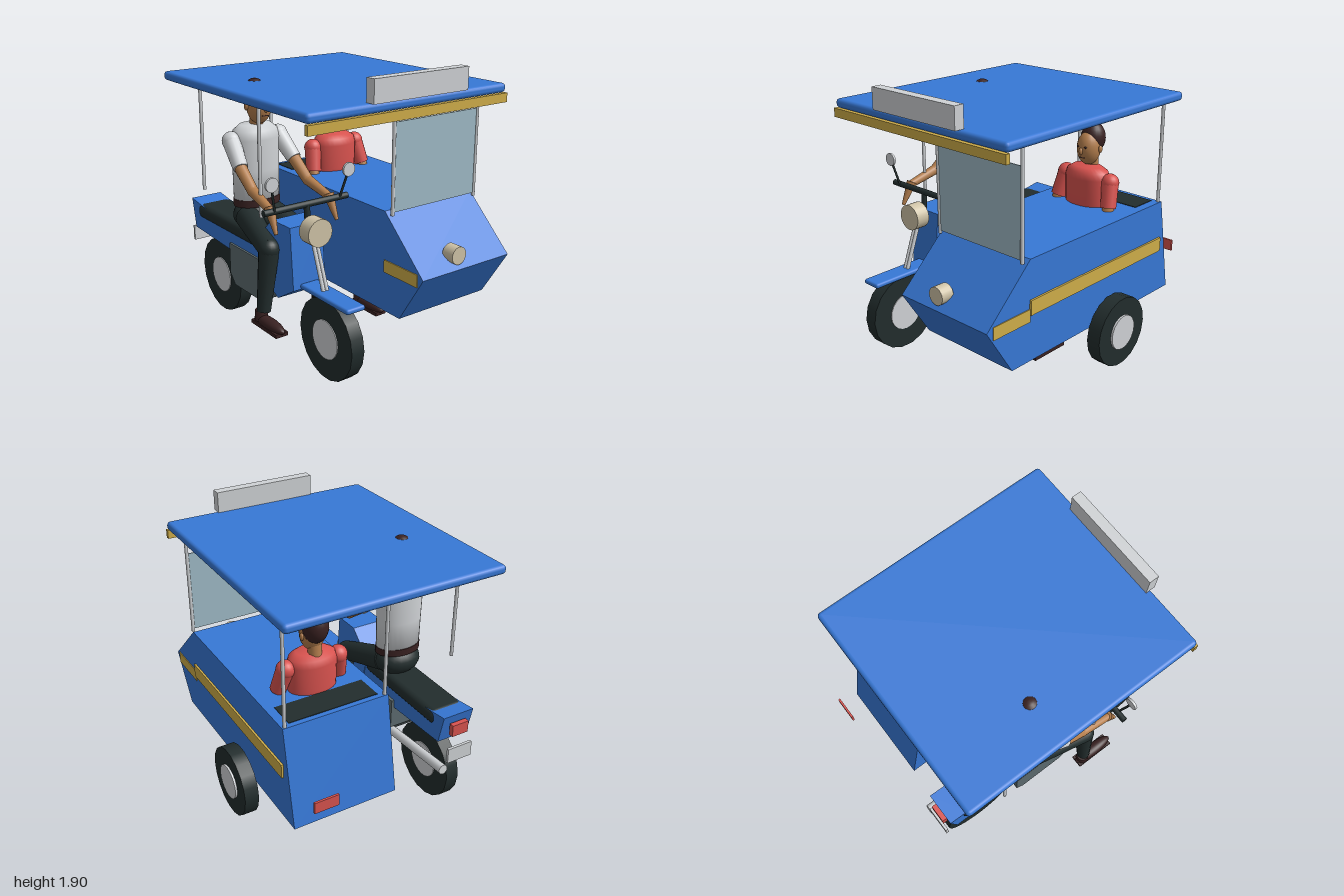
import * as THREE from 'three';
import { RoundedBoxGeometry } from 'three/addons/geometries/RoundedBoxGeometry.js';

const mat = (name, color) => {
  const m = new THREE.MeshStandardMaterial({ color });
  m.name = name;
  return m;
};

export function createModel() {
  const root = new THREE.Group();
  const blue = mat('blue paint', 0x3778d6), yellow = mat('yellow trim', 0xd0ae4a);
  const grey = mat('light grey', 0xd0d3d6), black = mat('rubber black', 0x222d2d);
  const red = mat('red', 0xd9534f), skin = mat('skin', 0xb57f4e);
  const brown = mat('dark brown', 0x3a2222), cream = mat('lamp cream', 0xd0c4a8);
  const glass = mat('glass', 0xa0bcc8), slate = mat('slate', 0x5e6c70);
  glass.side = THREE.DoubleSide;

  const add = (name, geo, material, x = 0, y = 0, z = 0) => {
    const m = new THREE.Mesh(geo, material);
    m.name = name;
    m.position.set(x, y, z);
    root.add(m);
    return m;
  };
  // Box given by its lower and upper corners
  const box = (name, material, x0, x1, y0, y1, z0, z1, bevel = 0) => add(name,
    bevel ? new RoundedBoxGeometry(x1 - x0, y1 - y0, z1 - z0, 2, bevel)
      : new THREE.BoxGeometry(x1 - x0, y1 - y0, z1 - z0),
    material, (x0 + x1) / 2, (y0 + y1) / 2, (z0 + z1) / 2);
  // Tapered rod between two points
  const rod = (name, material, a, b, r0, r1 = r0, sides = 14) => {
    const p = new THREE.Vector3(...a), q = new THREE.Vector3(...b), d = q.clone().sub(p);
    const m = add(name, new THREE.CylinderGeometry(r1, r0, d.length(), sides), material);
    m.position.copy(p).add(q).multiplyScalar(0.5);
    m.quaternion.setFromUnitVectors(new THREE.Vector3(0, 1, 0), d.normalize());
    return m;
  };
  const ball = (name, material, x, y, z, rx, ry = rx, rz = rx) => {
    const m = add(name, new THREE.SphereGeometry(1, 20, 14), material, x, y, z);
    m.scale.set(rx, ry, rz);
    return m;
  };
  // Side profile of [z, y] points extruded across x
  const prism = (name, material, pts, x0, x1) => {
    const shape = new THREE.Shape(pts.map(([z, y]) => new THREE.Vector2(-z, y)));
    const geo = new THREE.ExtrudeGeometry(shape, { depth: x1 - x0, bevelEnabled: false });
    geo.rotateY(Math.PI / 2);
    return add(name, geo, material, x0, 0, 0);
  };

  // Canopy
  box('roof', blue, -0.815, 0.73, 1.7, 1.762, -0.85, 0.865, 0.025);
  box('roofTrim', yellow, -0.818, 0.73, 1.64, 1.7, 0.845, 0.875);
  box('roofSign', grey, -0.38, 0.355, 1.763, 1.908, 0.825, 0.895);
  for (const [x, z] of [[-0.04, 0.68], [0.67, 0.68], [-0.04, -0.71], [0.67, -0.71], [-0.715, 0.215], [-0.715, -0.515]])
    rod('roofPost', grey, [x, 0.98, z], [x, 1.71, z], 0.012);
  box('windshield', glass, -0.04, 0.67, 1, 1.578, 0.676, 0.684);

  // Sidecar
  prism('sidecarBody', blue, [[1, 0.65], [0.63, 1], [-0.725, 1], [-0.85, 0.318], [0.79, 0.318]], -0.06, 0.69);
  box('sideStripe', yellow, 0.689, 0.704, 0.635, 0.735, -0.72, 0.635);
  box('noseStripe', yellow, -0.066, 0.696, 0.59, 0.675, 0.635, 0.95);
  box('sidecarSeatBack', black, 0.0, 0.63, 0.8, 1.004, -0.69, -0.5);
  rod('sidecarHeadlight', cream, [0.25, 0.74, 0.9], [0.25, 0.74, 0.99], 0.06, 0.06, 20);
  box('sidecarTailLight', red, 0.46, 0.63, 0.53, 0.61, -1, -0.985);

  // Wheels
  const wheel = (x, y, z, r, hubR, w, hubOut) => {
    rod('tyre', black, [x - w / 2, y, z], [x + w / 2, y, z], r, r, 18);
    rod('wheelHub', grey, [x - w / 2 - 0.006, y, z], [x + w / 2 + hubOut, y, z], hubR, hubR, 20);
  };
  wheel(0.762, 0.255, -0.15, 0.245, 0.122, 0.1, 0.014);
  wheel(-0.502, 0.27, 0.66, 0.27, 0.13, 0.094, 0.006);
  wheel(-0.502, 0.27, -0.62, 0.27, 0.13, 0.094, 0.006);

  // Motorcycle body
  prism('fuelTank', blue, [[0.4, 0.94], [0.43, 0.53], [0.25, 0.42], [0.08, 0.5], [0.02, 0.78], [0.2, 0.94]], -0.625, -0.38);
  prism('tailBody', blue, [[-0.895, 0.8], [-0.76, 0.78], [0.05, 0.7], [0.05, 0.56], [-0.3, 0.56], [-0.85, 0.59]], -0.62, -0.385);
  box('seat', black, -0.635, -0.37, 0.68, 0.785, -0.8, 0.03, 0.045);
  prism('engine', slate, [[0.12, 0.62], [0.12, 0.4], [0.06, 0.33], [-0.28, 0.33], [-0.34, 0.4], [-0.34, 0.62]], -0.635, -0.365);
  box('frontFender', blue, -0.572, -0.432, 0.53, 0.565, 0.42, 0.91, 0.015);
  for (const dx of [-0.013, 0.013])
    rod('fork', grey, [-0.502 + dx, 0.55, 0.6], [-0.502 + dx, 0.96, 0.45], 0.013);
  rod('headlight', cream, [-0.502, 0.925, 0.45], [-0.502, 0.925, 0.55], 0.09, 0.09, 24);
  box('tailLight', red, -0.565, -0.44, 0.655, 0.74, -0.925, -0.89);
  box('rearPlate', grey, -0.6, -0.41, 0.46, 0.57, -0.937, -0.918);
  rod('exhaust', grey, [-0.38, 0.36, -0.25], [-0.38, 0.418, -0.935], 0.032, 0.034);

  // Handlebar and mirrors
  rod('handlebar', black, [-0.818, 1.075, 0.405], [-0.19, 1.075, 0.405], 0.021);
  rod('steeringStem', black, [-0.502, 0.9, 0.42], [-0.502, 1.075, 0.405], 0.02);
  for (const s of [-1, 1]) {
    rod('mirrorStem', black, [-0.502 + s * 0.245, 1.08, 0.42], [-0.502 + s * 0.28, 1.23, 0.45], 0.008);
    rod('mirror', grey, [-0.502 + s * 0.285, 1.262, 0.45], [-0.502 + s * 0.285, 1.262, 0.466], 0.045, 0.045, 20);
  }

  // People
  const head = (x, y, z) => {
    rod('neck', skin, [x, y - 0.17, z - 0.02], [x, y - 0.05, z - 0.01], 0.046);
    ball('face', skin, x, y, z + 0.02, 0.08, 0.118, 0.088);
    ball('hair', brown, x, y + 0.062, z - 0.025, 0.084, 0.11, 0.086);
    ball('nose', skin, x, y - 0.01, z + 0.107, 0.014, 0.024, 0.016);
    box('mouth', brown, x - 0.022, x + 0.022, y - 0.058, y - 0.052, z + 0.09, z + 0.099);
    for (const s of [-1, 1]) {
      ball('ear', skin, x + s * 0.083, y, z, 0.012, 0.026, 0.018);
      ball('eye', brown, x + s * 0.031, y + 0.02, z + 0.098, 0.01, 0.007, 0.008);
    }
  };
  const torso = (name, material, x, z, y0, y1) => {
    const h = y1 - y0;
    const pts = [[0, 0], [0.165, 0], [0.168, 0.4], [0.172, 0.8], [0.158, 0.91], [0.11, 0.98], [0, 1]]
      .map(([r, t]) => new THREE.Vector2(r, y0 + t * h));
    add(name, new THREE.LatheGeometry(pts, 28), material, x, 0, z).scale.z = 0.68;
  };
  const shoe = (x, y, z) => {
    ball('shoe', brown, x, y + 0.035, z + 0.1, 0.045, 0.04, 0.16);
    rod('shoeAnkle', brown, [x, y + 0.03, z], [x, y + 0.1, z], 0.045, 0.04);
    box('shoeSole', brown, x - 0.045, x + 0.045, y, y + 0.025, z - 0.05, z + 0.24);
  };

  // Driver
  const dx = -0.502;
  head(dx, 1.605, -0.145);
  torso('driverShirt', grey, dx, -0.18, 0.97, 1.49);
  rod('belt', brown, [dx, 0.935, -0.18], [dx, 0.985, -0.18], 0.168, 0.168, 24).scale.z = 0.7;
  ball('driverHips', black, dx, 0.86, -0.18, 0.17, 0.11, 0.14);
  for (const s of [-1, 1]) {
    const at = (x, y, z) => [dx + s * x, y, z];
    ball('shoulder', grey, ...at(0.18, 1.385, -0.18), 0.062);
    rod('sleeve', grey, at(0.18, 1.385, -0.18), at(0.205, 1.24, -0.03), 0.06, 0.05);
    rod('upperArm', skin, at(0.205, 1.24, -0.03), at(0.21, 1.125, 0.12), 0.042, 0.036);
    ball('elbow', skin, ...at(0.21, 1.125, 0.12), 0.037);
    rod('forearm', skin, at(0.21, 1.125, 0.12), at(0.225, 1.06, 0.35), 0.036, 0.026);
    rod('hand', skin, at(0.222, 1.08, 0.33), at(0.23, 0.925, 0.41), 0.036, 0.012);
    rod('thigh', black, at(0.09, 0.86, -0.15), at(0.165, 0.76, 0.22), 0.088, 0.07);
    ball('knee', black, ...at(0.165, 0.76, 0.22), 0.07);
    rod('shin', black, at(0.165, 0.76, 0.22), at(0.215, 0.345, 0.22), 0.068, 0.046);
    shoe(dx + s * 0.225, 0.252, 0.205);
  }

  // Passenger
  const px = 0.3;
  head(px, 1.385, -0.41);
  torso('passengerShirt', red, px, -0.385, 0.85, 1.27);
  for (const s of [-1, 1]) {
    const at = (x, y, z) => [px + s * x, y, z];
    ball('passengerShoulder', red, ...at(0.19, 1.175, -0.39), 0.062);
    rod('passengerSleeve', red, at(0.19, 1.175, -0.39), at(0.22, 1.01, -0.34), 0.06, 0.054);
    rod('passengerArm', skin, at(0.22, 1.03, -0.345), at(0.225, 0.9, -0.3), 0.04);
    rod('passengerShin', slate, at(0.125, 0.4, 0.1), at(0.125, 0.19, 0.1), 0.052, 0.044);
    shoe(px + s * 0.125, 0.1, 0.09);
  }
  return root;
}
